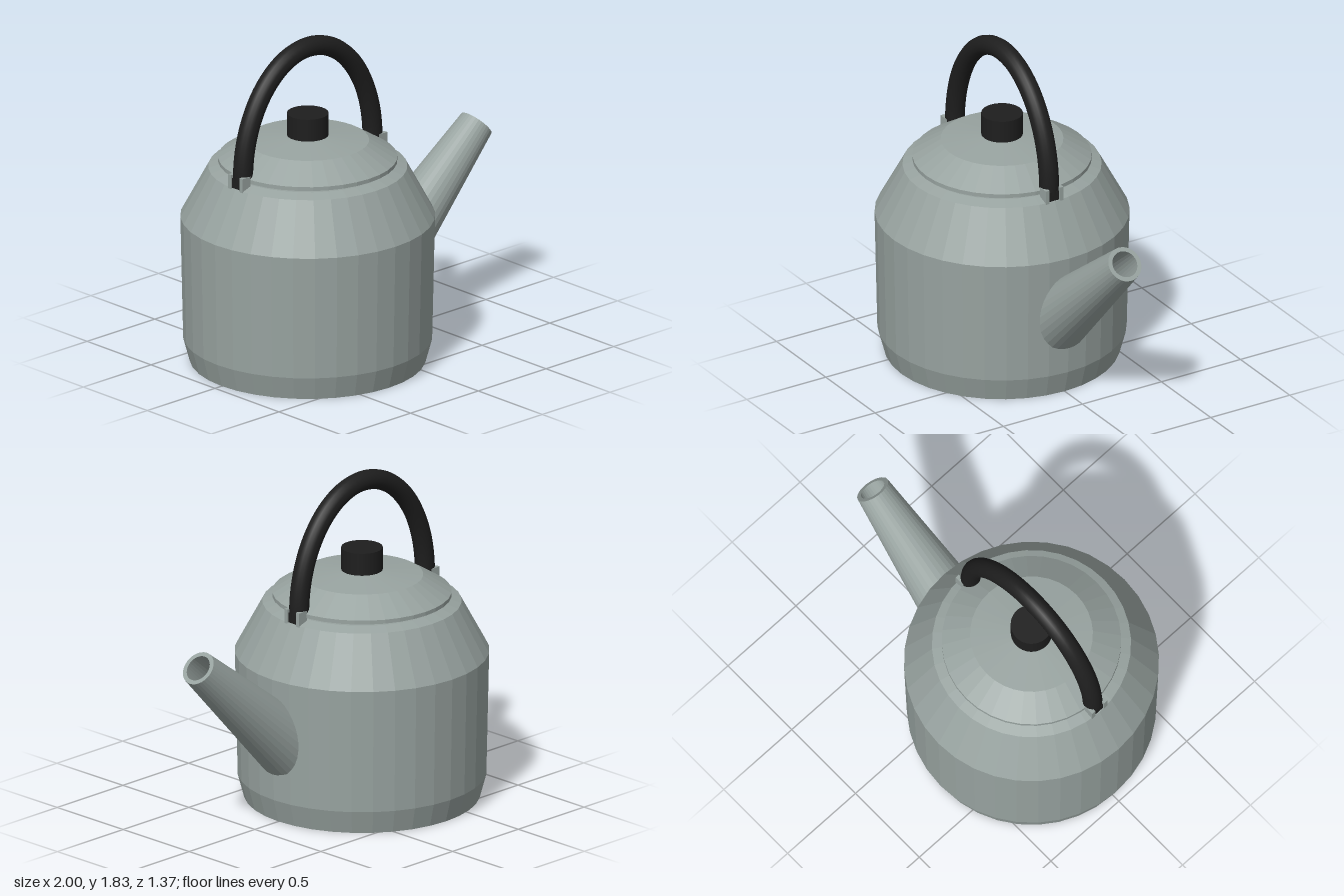
import * as THREE from 'three';

const steel = new THREE.MeshStandardMaterial({ color: 0x98a3a0, flatShading: true });
steel.name = 'brushed steel';
const black = new THREE.MeshStandardMaterial({ color: 0x1e1e1e });
black.name = 'black plastic';

const AXIS = -0.315; // x of the kettle's own axis

function lathe(name, profile, segments = 36) {
  const points = profile.map(([r, y]) => new THREE.Vector2(r, y));
  const mesh = new THREE.Mesh(new THREE.LatheGeometry(points, segments), steel);
  mesh.name = name;
  return mesh;
}

function part(name, geometry, material, x, y, z) {
  const mesh = new THREE.Mesh(geometry, material);
  mesh.name = name;
  mesh.position.set(x, y, z);
  return mesh;
}

// Half ellipse arching over the lid
class Arch extends THREE.Curve {
  getPoint(t, target = new THREE.Vector3()) {
    const a = Math.PI * (1 - t);
    return target.set(0.478 * Math.cos(a), 1.15 + 0.63 * Math.sin(a), 0);
  }
}

export function createModel() {
  const group = new THREE.Group();
  const pot = new THREE.Group();
  pot.name = 'pot';
  pot.position.x = AXIS;
  group.add(pot);

  // Body with chamfered foot, sloping shoulder and low neck
  pot.add(lathe('body', [
    [0, 0], [0.635, 0], [0.67, 0.13], [0.685, 0.82], [0.535, 1.1], [0.47, 1.122], [0, 1.122],
  ]));

  // Lid resting just above the neck
  pot.add(lathe('lid', [
    [0, 1.133], [0.482, 1.133], [0.482, 1.155], [0.33, 1.25], [0.11, 1.272], [0, 1.275],
  ]));

  // Knob
  pot.add(part('knobStem', new THREE.CylinderGeometry(0.06, 0.06, 0.03, 24), black, 0, 1.275, 0));
  pot.add(part('knob', new THREE.CylinderGeometry(0.112, 0.112, 0.125, 32), black, 0, 1.342, 0));

  // Arched handle
  pot.add(part('handle', new THREE.TubeGeometry(new Arch(), 48, 0.054, 16), black, 0, 0, 0));

  // Handle feet held between pairs of bracket plates
  for (const side of [-1, 1]) {
    pot.add(part('handleEnd', new THREE.CylinderGeometry(0.054, 0.054, 0.02, 16), black, side * 0.478, 1.145, 0));
    pot.add(part('handleTongue', new THREE.BoxGeometry(0.05, 0.06, 0.06), black, side * 0.505, 1.125, 0));
    for (const z of [-0.044, 0.044]) {
      pot.add(part('bracketPlate', new THREE.BoxGeometry(0.06, 0.08, 0.024), steel, side * 0.505, 1.133, z));
    }
  }

  // Tapered hollow spout
  const spout = lathe('spout', [
    [0, 0], [0.18, 0], [0.097, 0.916], [0.073, 0.916], [0.13, 0.3], [0, 0.3],
  ], 32);
  spout.position.set(0.249, 0.415, 0);
  spout.rotation.z = -Math.atan2(0.744, 0.668);
  group.add(spout);

  return group;
}
